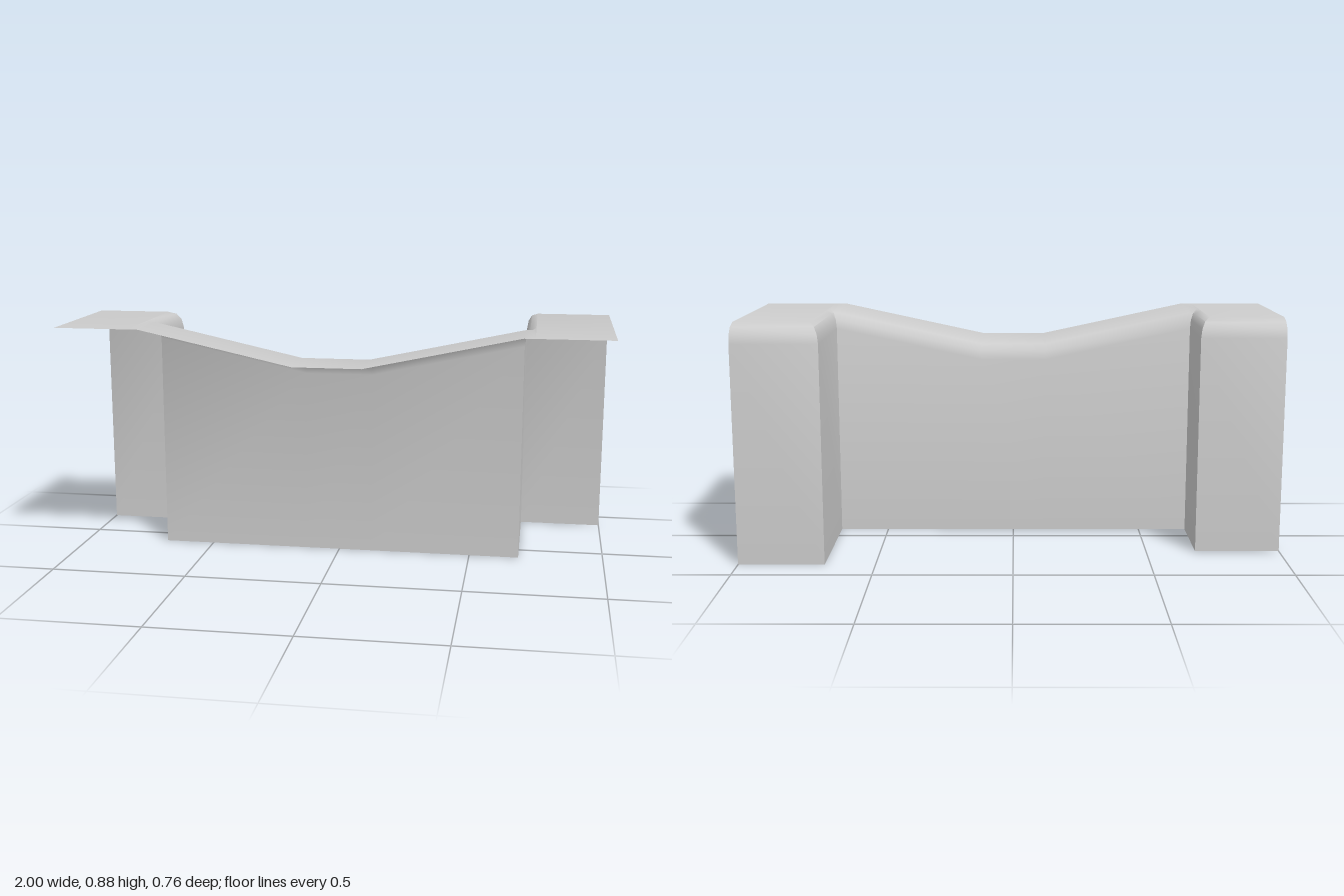
import * as THREE from 'three';
import { toCreasedNormals } from 'three/addons/utils/BufferGeometryUtils.js';

const FRONT = 0.377, RX = 0.04, RZ = 0.075, DROP = 0.07;

// height of the top sheet: flat ends with a shallow dip between them
function topHeight(x) {
  const t = THREE.MathUtils.clamp((Math.abs(x) - 0.125) / 0.56, 0, 1);
  return 0.755 + 0.121 * t;
}

// plan of the back wall: x, z, and how far the rounded edge leans in along x and z
const path = [
  [-1, -0.207, 0, RZ],
  [-0.685, -0.207, -RX, RZ],
  [-0.685, 0.095, -RX, 0],
  [-0.685, 0.095, -RX * 0.8, RZ * 0.8],
  [-0.685, 0.095, 0, RZ],
  [-0.125, 0.095, 0, RZ],
  [0.125, 0.095, 0, RZ],
  [0.685, 0.095, 0, RZ],
  [0.685, 0.095, RX * 0.8, RZ * 0.8],
  [0.685, 0.095, RX, 0],
  [0.685, -0.379, RX, RZ],
  [1, -0.379, 0, RZ],
];

// rounded edge: share of the lean, share of the rise
const rounding = [[0, 0], [0.13, 0.47], [0.45, 0.82], [1, 1]];

// one cross-section: floor, rounded edge, front lip
function section([x, z, dx, dz]) {
  const points = [new THREE.Vector3(x, 0, z)];
  for (const [lean, rise] of rounding) {
    const px = x + dx * lean;
    points.push(new THREE.Vector3(px, topHeight(px) - DROP * (1 - rise), z + dz * lean));
  }
  points.push(new THREE.Vector3(x + dx, topHeight(x + dx), FRONT));
  return points;
}

export function createModel() {
  const group = new THREE.Group();
  const material = new THREE.MeshStandardMaterial({ color: 0xcccccc, side: THREE.DoubleSide });
  const sections = path.map(section);
  const positions = [];
  const rowStart = [];

  const addTriangle = (a, b, c) => {
    if (new THREE.Triangle(a, b, c).getArea() < 1e-7) return;
    for (const p of [a, b, c]) positions.push(p.x, p.y, p.z);
  };

  // skin the sections row by row, from the floor to the front lip
  const rows = sections[0].length - 1;
  for (let j = 0; j < rows; j++) {
    rowStart.push(positions.length);
    for (let i = 0; i < sections.length - 1; i++) {
      const a = sections[i][j], b = sections[i + 1][j];
      const c = sections[i + 1][j + 1], d = sections[i][j + 1];
      addTriangle(a, d, c);
      addTriangle(a, c, b);
    }
  }
  rowStart.push(positions.length);

  let skin = new THREE.BufferGeometry();
  skin.setAttribute('position', new THREE.Float32BufferAttribute(positions, 3));
  skin = toCreasedNormals(skin, 0.6);

  // split the skin into named parts, keeping shared shading at the seams
  const addPart = (name, from, to) => {
    const geometry = new THREE.BufferGeometry();
    for (const key of ['position', 'normal']) {
      const slice = skin.getAttribute(key).array.slice(rowStart[from], rowStart[to]);
      geometry.setAttribute(key, new THREE.BufferAttribute(slice, 3));
    }
    const mesh = new THREE.Mesh(geometry, material);
    mesh.name = name;
    group.add(mesh);
  };
  addPart('steppedWall', 0, 1);
  addPart('roundedEdge', 1, rows - 1);
  addPart('topSheet', rows - 1, rows);
  return group;
}
